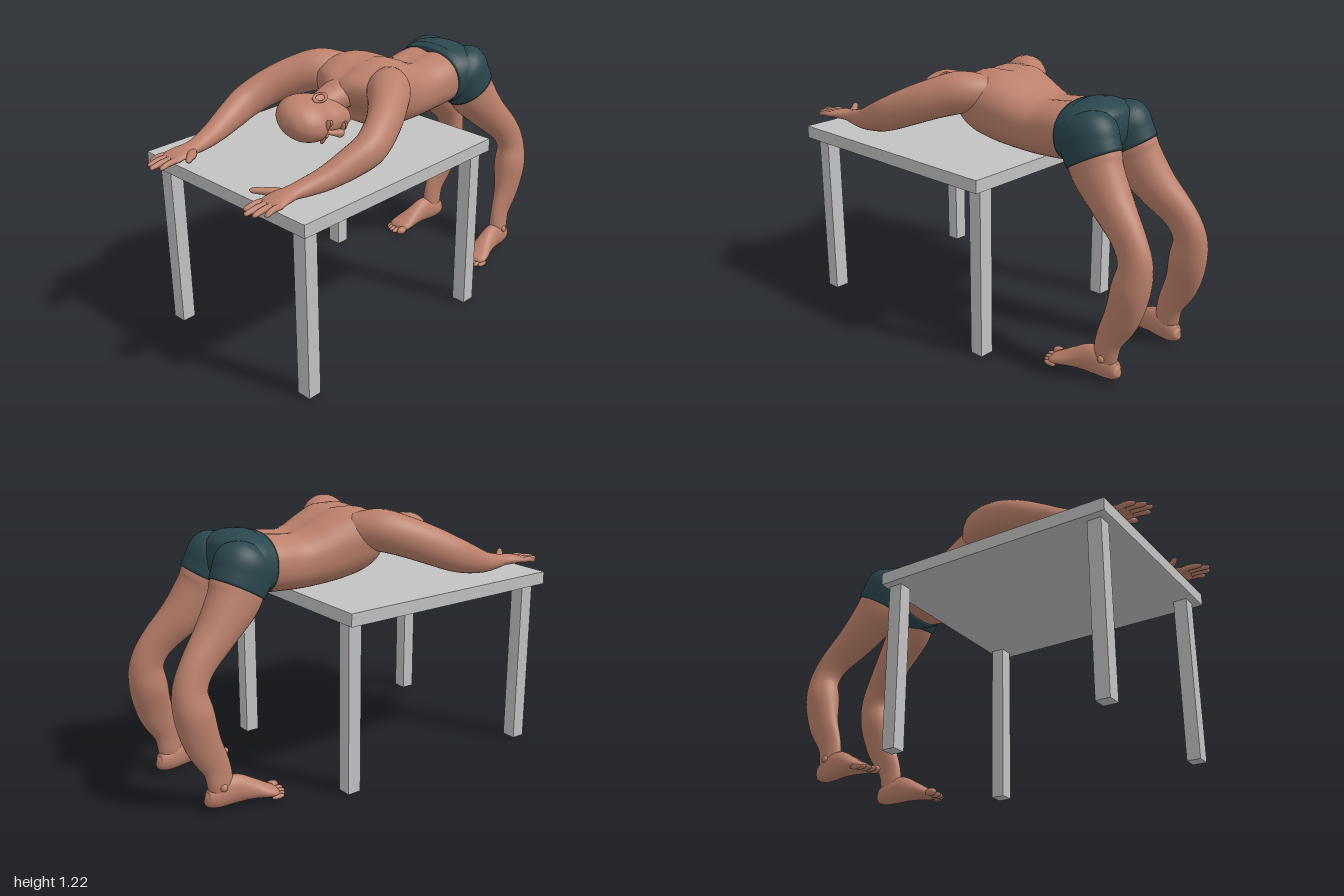
import * as THREE from 'three';

const skin = new THREE.MeshStandardMaterial({ color: 0xbb806b });
skin.name = 'skin';
const cloth = new THREE.MeshStandardMaterial({ color: 0x2a464d });
cloth.name = 'dark teal cloth';
const tableGrey = new THREE.MeshStandardMaterial({ color: 0xc2c2c2 });
tableGrey.name = 'table grey';

// Smooth skin over elliptical sections [x, y, z, sideRadius, upRadius]; power below 1 squares them off
function loft(name, sections, material = skin, { sides = 28, steps = 5, power = 1, warp } = {}) {
  const spline = (list) => new THREE.CatmullRomCurve3(list, false, 'catmullrom', 0.5);
  const path = spline(sections.map(([x, y, z]) => new THREE.Vector3(x, y, z)));
  const size = spline(sections.map((s) => new THREE.Vector3(s[3], s[4], 0)));
  const rings = (sections.length - 1) * steps;
  const shape = (v) => Math.sign(v) * Math.abs(v) ** power;
  const positions = [], index = [];
  const add = (p) => {
    if (warp) warp(p);
    positions.push(p.x, p.y, p.z);
  };
  for (let i = 0; i <= rings; i++) {
    const c = path.getPoint(i / rings), r = size.getPoint(i / rings), t = path.getTangent(i / rings);
    const side = new THREE.Vector3(1, 0, 0).addScaledVector(t, -t.x).normalize();
    const up = t.clone().cross(side);
    for (let j = 0; j < sides; j++) {
      const a = (j / sides) * Math.PI * 2;
      add(c.clone().addScaledVector(side, r.x * shape(Math.cos(a))).addScaledVector(up, r.y * shape(Math.sin(a))));
      if (i < rings) {
        const k = i * sides, n = (j + 1) % sides;
        index.push(k + j, k + n, k + sides + j, k + n, k + sides + n, k + sides + j);
      }
    }
  }
  // End caps
  const first = (rings + 1) * sides, last = rings * sides;
  add(path.getPoint(0));
  add(path.getPoint(1));
  for (let j = 0; j < sides; j++) {
    const n = (j + 1) % sides;
    index.push(first, n, j, first + 1, last + j, last + n);
  }
  const geometry = new THREE.BufferGeometry();
  geometry.setAttribute('position', new THREE.Float32BufferAttribute(positions, 3));
  geometry.setIndex(index);
  geometry.computeVertexNormals();
  const mesh = new THREE.Mesh(geometry, material);
  mesh.name = name;
  return mesh;
}

function box(name, w, h, d, x, y, z) {
  const mesh = new THREE.Mesh(new THREE.BoxGeometry(w, h, d), tableGrey);
  mesh.name = name;
  mesh.position.set(x, y, z);
  return mesh;
}

function blob(name, rx, ry, rz, x, y, z) {
  const mesh = new THREE.Mesh(new THREE.SphereGeometry(1, 20, 14), skin);
  mesh.name = name;
  mesh.scale.set(rx, ry, rz);
  mesh.position.set(x, y, z);
  return mesh;
}

function group(name, ...parts) {
  const g = new THREE.Group();
  g.name = name;
  if (parts.length) g.add(...parts);
  return g;
}

function createTable() {
  const table = group('table', box('tableTop', 1.02, 0.06, 1.17, 0, 0.835, 0.285));
  for (const x of [-0.435, 0.435])
    for (const z of [-0.25, 0.8]) table.add(box('tableLeg', 0.07, 0.805, 0.066, x, 0.4025, z));
  return table;
}

function createTorso() {
  // Shallow furrow along the spine
  const furrow = (p) => {
    if (p.y > 1.08) p.y -= 0.016 * Math.exp(-((p.x / 0.035) ** 2));
  };
  return group('torso',
    loft('trunk', [
      [0, 1.02, -0.55, 0.17, 0.11], [0, 1.015, -0.46, 0.194, 0.133], [0, 1.0, -0.3, 0.188, 0.133],
      [0, 1.01, -0.2, 0.203, 0.142], [0, 1.035, -0.1, 0.222, 0.16], [0, 1.066, 0, 0.245, 0.163],
      [0, 1.092, 0.07, 0.245, 0.13], [0, 1.1, 0.13, 0.19, 0.09], [0, 1.095, 0.18, 0.1, 0.06],
      [0, 1.09, 0.21, 0.03, 0.02],
    ], skin, { sides: 48, power: 0.85, warp: furrow }),
    loft('neck', [
      [0, 1.09, 0.08, 0.1, 0.08], [0, 1.08, 0.17, 0.085, 0.07],
      [0, 1.06, 0.25, 0.07, 0.065], [0.01, 1.04, 0.35, 0.065, 0.065],
    ]));
}

// Local y runs to the crown and local z to the face, then the head is laid on its cheek
function createHead() {
  const head = group('head',
    loft('skull', [
      [0, -0.168, 0.082, 0.008, 0.008], [0, -0.158, 0.078, 0.036, 0.034], [0, -0.105, 0.05, 0.066, 0.08],
      [0, -0.04, 0.012, 0.081, 0.115], [0, 0.03, 0, 0.09, 0.13], [0, 0.09, -0.004, 0.08, 0.113],
      [0, 0.133, -0.005, 0.05, 0.07], [0, 0.152, -0.005, 0.006, 0.008],
    ], skin, { sides: 36 }),
    loft('nose', [
      [0, 0.0, 0.118, 0.009, 0.009], [0, -0.03, 0.136, 0.013, 0.016],
      [0, -0.054, 0.146, 0.021, 0.02], [0, -0.066, 0.135, 0.012, 0.012],
    ], skin, { sides: 14 }),
    blob('upperLip', 0.028, 0.009, 0.013, 0, -0.092, 0.123),
    blob('lowerLip', 0.025, 0.009, 0.013, 0, -0.108, 0.118));
  for (const s of [-1, 1]) {
    head.add(blob('brow', 0.032, 0.01, 0.014, s * 0.036, 0.008, 0.113));
    head.add(blob('eyelid', 0.017, 0.011, 0.01, s * 0.036, -0.016, 0.108));
    const rim = new THREE.Mesh(new THREE.TorusGeometry(0.026, 0.007, 8, 22), skin);
    rim.name = 'earRim';
    rim.scale.set(0.75, 1.35, 1);
    const ear = group('ear', rim, blob('earInner', 0.018, 0.034, 0.006, 0, 0, -0.004));
    ear.position.set(s * 0.096, -0.03, 0);
    ear.rotation.y = s * (Math.PI / 2 - 0.45);
    head.add(ear);
  }
  const tilt = 0.4, c = Math.cos(tilt), n = Math.sin(tilt);
  head.setRotationFromMatrix(new THREE.Matrix4().makeBasis(
    new THREE.Vector3(n, c, 0), new THREE.Vector3(0, 0, 1), new THREE.Vector3(c, -n, 0)));
  head.position.set(0.02, 1.035, 0.37);
  return head;
}

function createArm(s, label) {
  const at = (list) => list.map(([x, ...rest]) => [s * x, ...rest]);
  const arm = group(label + 'Arm',
    loft('armAndPalm', at([
      [0.13, 1.125, -0.03, 0.07, 0.07], [0.215, 1.125, 0.07, 0.098, 0.096], [0.295, 1.095, 0.165, 0.086, 0.093],
      [0.36, 1.05, 0.27, 0.073, 0.088], [0.395, 1.0, 0.38, 0.07, 0.08], [0.385, 0.963, 0.48, 0.063, 0.07],
      [0.36, 0.925, 0.6, 0.053, 0.052], [0.336, 0.908, 0.7, 0.045, 0.038], [0.325, 0.903, 0.76, 0.043, 0.028],
      [0.322, 0.899, 0.83, 0.056, 0.023], [0.325, 0.892, 0.885, 0.057, 0.015], [0.326, 0.89, 0.9, 0.03, 0.006],
    ])),
    loft('thumb', at([
      [0.3, 0.9, 0.77, 0.012, 0.014], [0.268, 0.902, 0.805, 0.022, 0.02], [0.235, 0.908, 0.84, 0.016, 0.015],
      [0.208, 0.912, 0.868, 0.013, 0.012], [0.198, 0.913, 0.878, 0.003, 0.003],
    ]), skin, { sides: 14 }));
  // Four fingers: root x, tip x, tip z
  for (const [x0, x1, z] of [[0.283, 0.274, 0.972], [0.312, 0.308, 0.998], [0.34, 0.342, 0.985], [0.367, 0.374, 0.95]])
    arm.add(loft('finger', at([
      [x0, 0.892, 0.86, 0.014, 0.013], [(x0 + x1) / 2, 0.894, (0.86 + z) / 2, 0.0135, 0.013],
      [x1, 0.886, z - 0.012, 0.011, 0.01], [x1, 0.884, z, 0.003, 0.003],
    ]), skin, { sides: 12 }));
  return arm;
}

function createLeg(s, label) {
  const at = (list) => list.map(([x, ...rest]) => [s * x, ...rest]);
  const leg = group(label + 'Leg',
    loft('thighAndCalf', at([
      [0.12, 0.99, -0.6, 0.1, 0.125], [0.127, 0.945, -0.625, 0.104, 0.13], [0.138, 0.885, -0.66, 0.1, 0.122],
      [0.158, 0.775, -0.755, 0.087, 0.096], [0.188, 0.66, -0.865, 0.065, 0.08], [0.203, 0.56, -0.913, 0.064, 0.08],
      [0.214, 0.45, -0.903, 0.076, 0.089], [0.225, 0.32, -0.873, 0.054, 0.083], [0.231, 0.2, -0.818, 0.036, 0.066],
      [0.234, 0.11, -0.803, 0.038, 0.06], [0.235, 0.05, -0.8, 0.03, 0.05],
    ])),
    loft('foot', at([
      [0.228, 0.06, -0.875, 0.012, 0.015], [0.229, 0.058, -0.86, 0.032, 0.042], [0.233, 0.064, -0.81, 0.042, 0.058],
      [0.24, 0.076, -0.74, 0.044, 0.068], [0.25, 0.058, -0.66, 0.051, 0.048], [0.261, 0.038, -0.595, 0.063, 0.031],
      [0.267, 0.027, -0.555, 0.058, 0.021], [0.268, 0.024, -0.54, 0.03, 0.01],
    ])),
    blob('ankleBone', 0.016, 0.018, 0.018, s * 0.268, 0.11, -0.805));
  // Toes, from the big one outward
  const tips = [[0.22, -0.525, 0.021], [0.253, -0.52, 0.0145], [0.279, -0.526, 0.0135], [0.302, -0.538, 0.0125], [0.321, -0.553, 0.012]];
  for (const [x, z, r] of tips) leg.add(blob('toe', r, r * 0.95, 0.032, s * x, r + 0.004, z - 0.008));
  return leg;
}

function createShorts() {
  const shorts = group('shorts', loft('hips', [
    [0, 1.015, -0.457, 0.2, 0.139], [0, 1.02, -0.52, 0.213, 0.149], [0, 1.04, -0.58, 0.212, 0.134],
    [0, 1.05, -0.635, 0.16, 0.105], [0, 1.05, -0.67, 0.07, 0.06], [0, 1.05, -0.68, 0.01, 0.01],
  ], cloth, { sides: 44, power: 0.9 }));
  for (const s of [-1, 1])
    shorts.add(loft('shortsLeg', [
      [s * 0.1, 1.1, -0.535, 0.07, 0.07], [s * 0.113, 1.055, -0.57, 0.115, 0.135],
      [s * 0.122, 0.99, -0.6, 0.114, 0.141], [s * 0.128, 0.94, -0.628, 0.109, 0.137],
    ], cloth, { sides: 36 }));
  return shorts;
}

export function createModel() {
  return group('figureOverTable', createTable(), createTorso(), createHead(), createShorts(),
    createArm(1, 'left'), createArm(-1, 'right'), createLeg(1, 'left'), createLeg(-1, 'right'));
}
